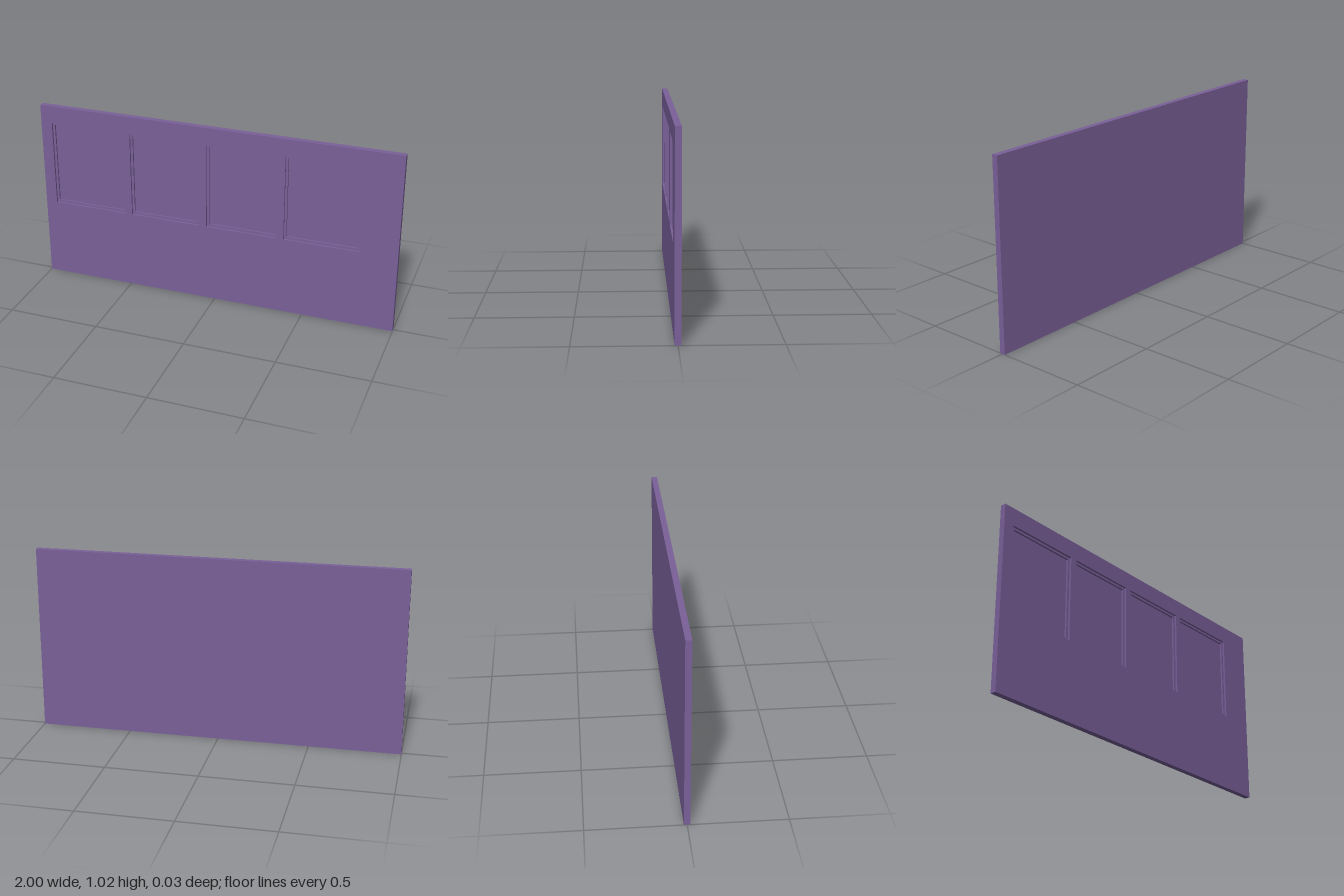
import * as THREE from 'three';

const HEIGHT = 1.018, DEPTH = 0.032;
const BOTTOM = 0.441, TOP = 0.92;   // window heights
const LIP = 0.013;                  // width of the step around each window
const WINDOWS = [[-0.938, -0.521], [-0.481, -0.086], [-0.048, 0.348], [0.385, 0.802]];

function rectangle(path, x0, x1, y0, y1) {
  path.moveTo(x0, y0);
  path.lineTo(x1, y0);
  path.lineTo(x1, y1);
  path.lineTo(x0, y1);
  path.closePath();
  return path;
}

// Slab from z0 to z1 with the four windows cut out, shrunk by inset
function cutLayer(name, z0, z1, inset, material) {
  const shape = rectangle(new THREE.Shape(), -1, 1, 0, HEIGHT);
  for (const [x0, x1] of WINDOWS) {
    shape.holes.push(rectangle(new THREE.Path(), x0 + inset, x1 - inset, BOTTOM + inset, TOP - inset));
  }
  const geometry = new THREE.ExtrudeGeometry(shape, { depth: z1 - z0, bevelEnabled: false });
  geometry.translate(0, 0, z0);
  const mesh = new THREE.Mesh(geometry, material);
  mesh.name = name;
  return mesh;
}

export function createModel() {
  const group = new THREE.Group();
  group.name = 'windowedPanel';
  const material = new THREE.MeshStandardMaterial({ color: 0x7a6099 });
  const back = -DEPTH / 2, front = DEPTH / 2;
  const floor = front - 0.021, step = front - 0.011;

  // Solid backing, which forms the floor of the window recesses
  const backing = new THREE.Mesh(new THREE.BoxGeometry(2, HEIGHT, floor - back), material);
  backing.position.set(0, HEIGHT / 2, (back + floor) / 2);
  backing.name = 'backing';
  group.add(backing);

  // Two cut layers give each window a stepped edge
  group.add(cutLayer('windowSteps', floor, step, LIP, material));
  group.add(cutLayer('frontFace', step, front, 0, material));
  return group;
}
